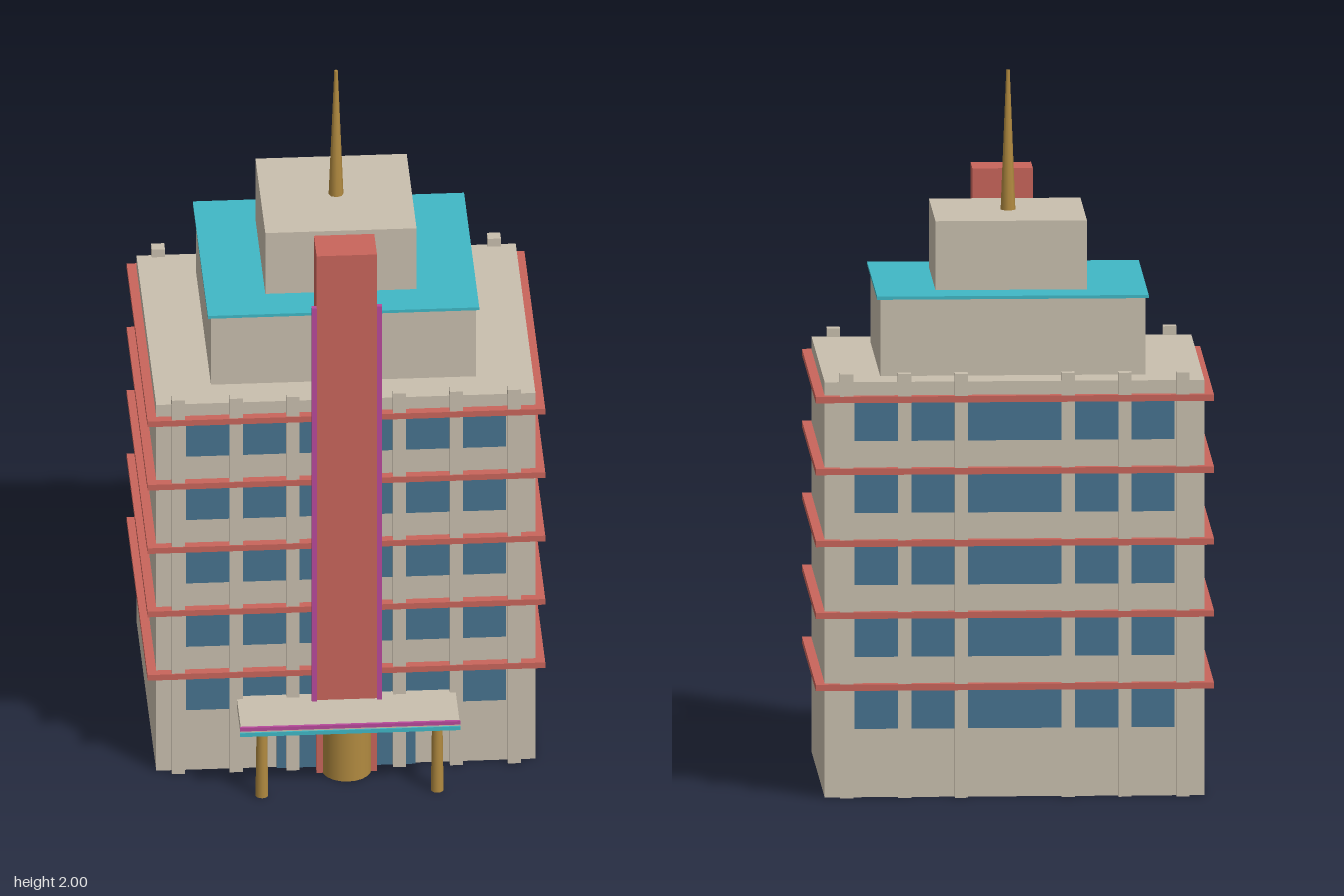
import * as THREE from 'three';

const material = (name, color) => {
  const m = new THREE.MeshStandardMaterial({ color });
  m.name = name;
  return m;
};

export function createModel() {
  const stone = material('stone', 0xc9bfae);
  const red = material('red', 0xc9655b);
  const glass = material('blue glass', 0x47738f);
  const teal = material('teal', 0x40b8c6);
  const magenta = material('magenta', 0xb84a9c);
  const gold = material('gold', 0xb18a40);

  const model = new THREE.Group();
  model.name = 'towerBlock';

  const add = (name, geometry, mat, x, y, z) => {
    const mesh = new THREE.Mesh(geometry, mat);
    mesh.name = name;
    mesh.position.set(x, y, z);
    model.add(mesh);
    return mesh;
  };
  // Box centred on x, given by width, bottom, top, back and front
  const box = (name, mat, width, y0, y1, z0, z1, x = 0) =>
    add(name, new THREE.BoxGeometry(width, y1 - y0, z1 - z0), mat, x, (y0 + y1) / 2, (z0 + z1) / 2);

  // Stepped body
  box('mainBlock', stone, 1.068, 0, 1.18, -0.513, 0.343);
  box('middleTier', stone, 0.746, 1.18, 1.4, -0.402, 0.237);
  box('tealRoofSlab', teal, 0.764, 1.398, 1.407, -0.411, 0.246);
  box('topTier', stone, 0.426, 1.4, 1.603, -0.297, 0.13);

  // Floors: a window strip front and back under each red ledge
  for (let i = 0; i < 5; i++) {
    const y = 0.315 + i * 0.2045;
    box('ledge', red, 1.12, y - 0.009, y + 0.009, -0.537, 0.369);
    box('frontWindows', glass, 0.9, y - 0.12, y - 0.009, 0.341, 0.348);
    box('backWindows', glass, 0.9, y - 0.12, y - 0.009, -0.518, -0.511);
  }

  // Vertical piers front and back
  for (const side of [-1, 1]) {
    for (const x of [0.15, 0.31, 0.473]) {
      box('frontPier', stone, 0.037, 0, 1.205, 0.332, 0.366, side * x);
      box('backPier', stone, 0.037, 0, 1.205, -0.535, -0.5, side * x);
    }
  }

  // Front fin with magenta edge strips
  box('frontFin', red, 0.17, 0, 1.667, 0.267, 0.385);
  for (const side of [-1, 1])
    box('finStrip', magenta, 0.014, 0.235, 1.503, 0.378, 0.392, side * 0.092);

  // Entrance: glazing, round door, canopy and columns
  box('entranceGlass', glass, 0.39, 0, 0.2, 0.343, 0.35);
  add('roundDoor', new THREE.CylinderGeometry(0.07, 0.07, 0.175, 20), gold, 0, 0.0875, 0.37);
  box('canopy', stone, 0.616, 0.208, 0.235, 0.343, 0.527);
  box('canopyMagentaTrim', magenta, 0.62, 0.225, 0.236, 0.525, 0.533);
  box('canopyTealTrim', teal, 0.62, 0.206, 0.218, 0.525, 0.531);
  for (const side of [-1, 1])
    add('canopyColumn', new THREE.CylinderGeometry(0.015, 0.018, 0.208, 12), gold, side * 0.247, 0.104, 0.502);

  // Roof spire
  add('spire', new THREE.CylinderGeometry(0.005, 0.021, 0.4, 8), gold, 0, 1.8, -0.083);

  return model;
}
